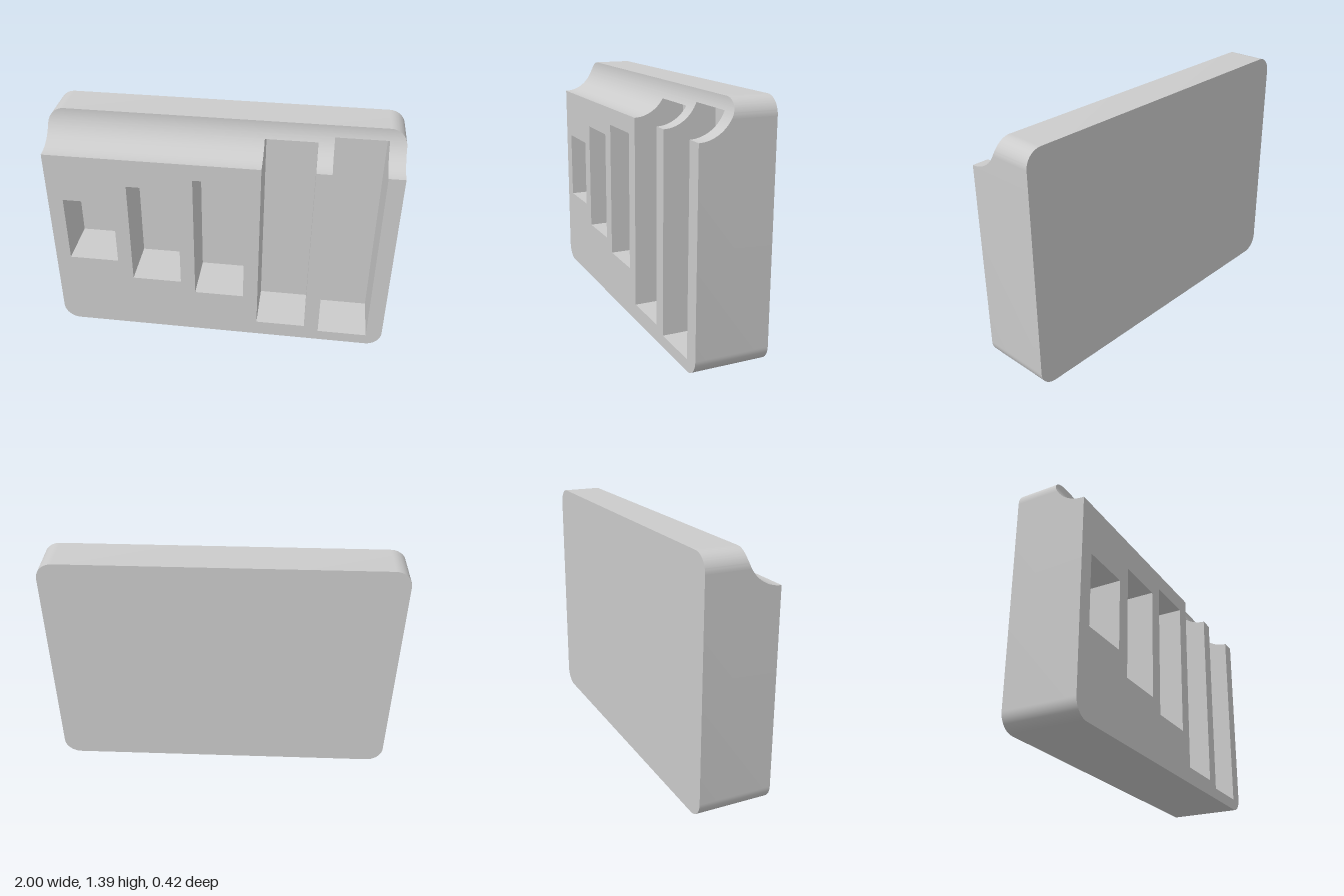
import * as THREE from 'three';
import { toCreasedNormals } from 'three/addons/utils/BufferGeometryUtils.js';

const H = 1.395, ZB = -0.21, ZF = 0.21;   // block height, back and front planes
const R = 0.095;                          // rounded corner radius
const COVE = 0.195;                       // cove radius along the top front edge
const POCKET_Z = -0.085;                  // pocket floor plane
const MID = 0.6975;

// Five pockets of equal width and growing height
const pockets = [0.415, 0.66, 0.805, 1.2, 1.26].map((h, i) => {
  const x = (i - 2) * 0.381 - 0.002;
  return { x0: x - 0.147, x1: x + 0.147, y0: MID - h / 2, y1: MID + h / 2 };
});

// Front surface depth and half width of the block at a given height
const frontZ = (y) => {
  const d = H - y;
  return d >= COVE ? ZF : ZF - Math.sqrt(COVE * COVE - d * d);
};
const halfWidth = (y) => {
  const d = Math.max(0, Math.max(R - y, y - (H - R)));
  return 1 - R + Math.sqrt(Math.max(0, R * R - d * d));
};

// Heights of the rows, fine enough for both the cove and the corners
function rows() {
  const ys = [];
  for (let i = 0; i <= 28; i++) ys.push(H - COVE * Math.cos((i / 28) * Math.PI / 2));
  for (let i = 0; i < 14; i++) ys.push(H - R + R * Math.sin((i / 14) * Math.PI / 2));
  for (const p of pockets) if (p.y1 > H - COVE) ys.push(p.y1);
  ys.sort((a, b) => a - b);
  return ys.filter((y, i) => i === 0 || y - ys[i - 1] > 1e-5);
}
const ROWS = rows();

const quad = (out, a, b, c, d) => out.push(...a, ...b, ...c, ...a, ...c, ...d);

// Wall along a closed loop of [x, y], from plane z0 out to the front surface
function wall(out, loop, z0) {
  loop.forEach(([ax, ay], i) => {
    const [bx, by] = loop[(i + 1) % loop.length];
    quad(out, [ax, ay, z0], [bx, by, z0], [bx, by, frontZ(by)], [ax, ay, frontZ(ay)]);
  });
}

// Flat face from a loop, placed at depth z
function face(out, loop, z, holes = [], flip = false) {
  const shape = new THREE.Shape(loop.map(([x, y]) => new THREE.Vector2(x, y)));
  for (const h of holes) shape.holes.push(new THREE.Path(h.map(([x, y]) => new THREE.Vector2(x, y))));
  const g = new THREE.ShapeGeometry(shape).toNonIndexed();
  if (flip) g.rotateY(Math.PI);
  g.translate(0, 0, z);
  for (const v of g.attributes.position.array) out.push(v);
}

function makeMesh(name, positions) {
  const g = new THREE.BufferGeometry();
  g.setAttribute('position', new THREE.Float32BufferAttribute(positions, 3));
  const mesh = new THREE.Mesh(toCreasedNormals(g, 0.6), new THREE.MeshStandardMaterial({ color: 0xcccccc }));
  mesh.name = name;
  return mesh;
}

const rect = (p) => [[p.x0, p.y0], [p.x1, p.y0], [p.x1, p.y1], [p.x0, p.y1]];

function makeBlock() {
  const out = [];

  // Outer outline: rounded bottom, then up the sides through the cove rows
  const bottom = [];
  for (let i = 0; i <= 14; i++) {
    const a = (i / 14) * Math.PI / 2;
    bottom.push([1 - R + R * Math.sin(a), R - R * Math.cos(a)]);
  }
  const right = [...bottom, ...ROWS.map((y) => [halfWidth(y), y])];
  const mirror = (pts) => pts.map(([x, y]) => [-x, y]).reverse();
  const outline = [...right, ...mirror(right)];
  wall(out, outline, ZB);
  face(out, outline, ZB, [], true);

  // Front face: closed pockets are holes, tall ones are notches in its top edge
  const edgeY = H - COVE;
  const tall = pockets.filter((p) => p.y1 > edgeY);
  const low = pockets.filter((p) => p.y1 <= edgeY);
  const front = [...bottom, [1, edgeY]];
  for (const p of [...tall].reverse()) {
    front.push([p.x1, edgeY], [p.x1, p.y0], [p.x0, p.y0], [p.x0, edgeY]);
  }
  front.push([-1, edgeY], ...mirror(bottom));
  face(out, front, ZF, low.map(rect));

  // Cove: strips between rows, interrupted by the tall pockets
  for (let i = 0; i < ROWS.length - 1; i++) {
    const y0 = ROWS[i], y1 = ROWS[i + 1];
    const z0 = frontZ(y0), z1 = frontZ(y1);
    const cuts = tall.filter((p) => p.y1 > (y0 + y1) / 2).flatMap((p) => [p.x0, p.x1]);
    const lo = [-halfWidth(y0), ...cuts, halfWidth(y0)];
    const hi = [-halfWidth(y1), ...cuts, halfWidth(y1)];
    for (let k = 0; k < lo.length; k += 2) {
      quad(out, [lo[k], y0, z0], [lo[k + 1], y0, z0], [hi[k + 1], y1, z1], [hi[k], y1, z1]);
    }
  }
  return makeMesh('block', out);
}

// Inward facing walls and floor of one pocket
function makePocket(p, i) {
  const out = [];
  const ys = [p.y0, ...ROWS.filter((y) => y < p.y1 - 1e-5), p.y1];
  const loop = [...ys.map((y) => [p.x0, y]), ...ys.map((y) => [p.x1, y]).reverse()];
  wall(out, loop, POCKET_Z);
  face(out, rect(p), POCKET_Z);
  return makeMesh('pocket' + (i + 1), out);
}

export function createModel() {
  const group = new THREE.Group();
  group.name = 'slottedBlock';
  group.add(makeBlock());
  // Rows above a low pocket play no part in its walls
  pockets.forEach((p, i) => group.add(makePocket(p, i)));
  return group;
}
